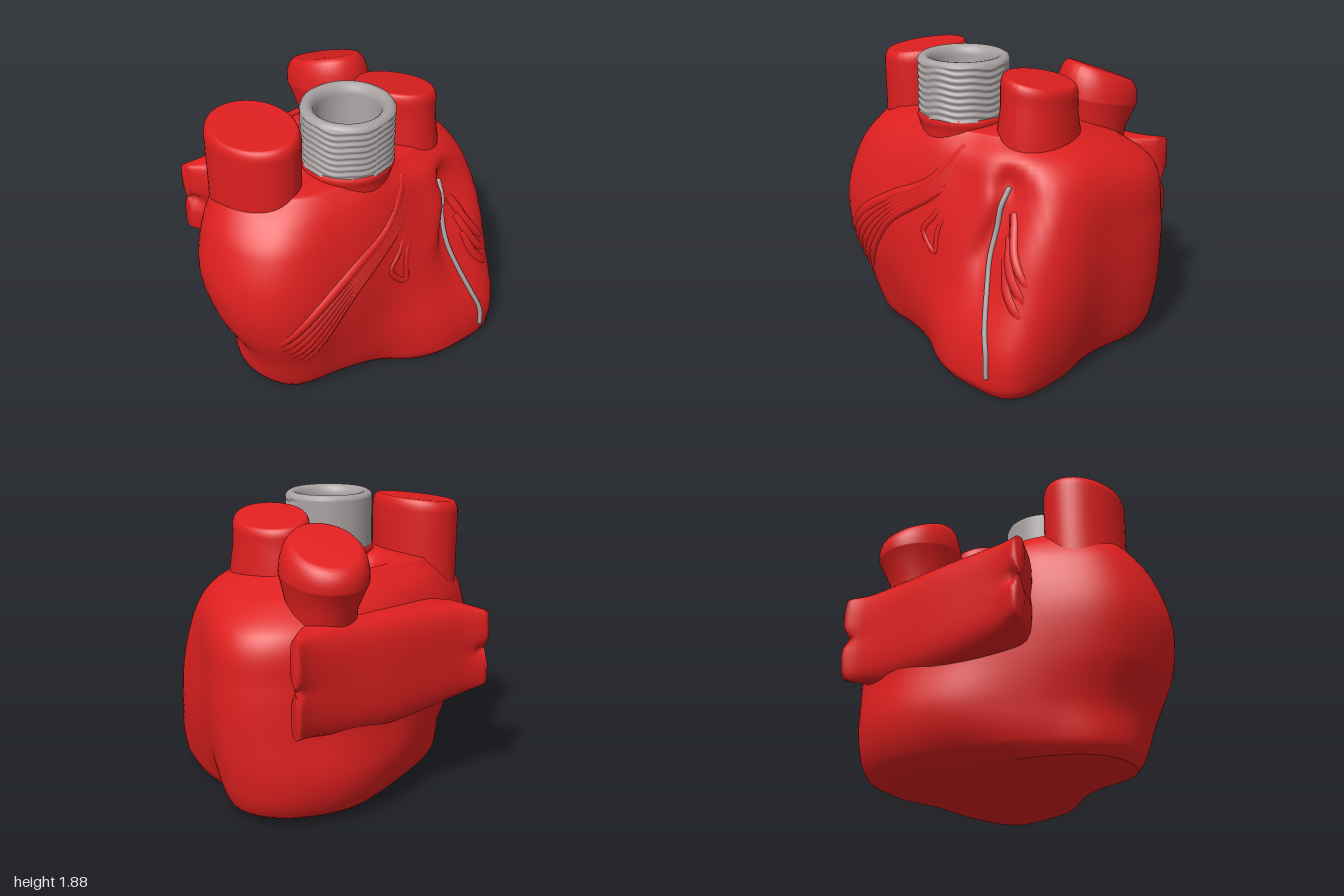
import * as THREE from 'three';

const red = new THREE.MeshStandardMaterial({ color: 0xde1f1f });
red.name = 'heartRed';
const grey = new THREE.MeshStandardMaterial({ color: 0xaaa2a2 });
grey.name = 'warmGrey';

const CZ = 0.05; // z of the body's vertical axis

// Body cross-sections: height, then radii every 30 degrees from +x towards +z
const BODY = [
  [0.00, 0.82, 0.95, 0.85, 0.55, 0.53, 0.73, 0.71, 0.53, 0.43, 0.45, 0.72, 0.90],
  [0.07, 0.87, 0.99, 0.90, 0.61, 0.60, 0.78, 0.76, 0.60, 0.54, 0.62, 0.86, 1.03],
  [0.30, 0.94, 1.03, 0.88, 0.66, 0.67, 0.86, 0.79, 0.66, 0.62, 0.74, 0.95, 1.10],
  [0.60, 0.98, 1.04, 0.78, 0.65, 0.73, 0.98, 0.93, 0.74, 0.65, 0.72, 0.92, 1.12],
  [0.90, 0.98, 1.00, 0.71, 0.62, 0.73, 1.00, 0.99, 0.78, 0.65, 0.70, 0.89, 1.11],
  [1.20, 0.95, 0.89, 0.61, 0.56, 0.65, 0.90, 0.93, 0.74, 0.62, 0.66, 0.85, 1.05],
  [1.36, 0.84, 0.76, 0.55, 0.51, 0.57, 0.77, 0.84, 0.66, 0.55, 0.55, 0.66, 0.82],
  [1.46, 0.63, 0.58, 0.45, 0.45, 0.49, 0.64, 0.74, 0.56, 0.42, 0.42, 0.46, 0.53],
];

// Back slab: x, back z, front z, top y, bottom y
const SLAB = [
  [-0.69, -0.69, -0.60, 1.20, 0.70],
  [-0.50, -0.68, -0.36, 1.25, 0.63],
  [0.00, -0.75, -0.30, 1.28, 0.56],
  [0.40, -0.79, -0.40, 1.28, 0.58],
  [0.62, -0.83, -0.60, 1.26, 0.63],
  [0.74, -0.88, -0.77, 1.25, 0.66],
];

// Smooth value of column k at the given key (first column)
function spline(rows, key, k) {
  let i = 0;
  while (i < rows.length - 2 && key > rows[i + 1][0]) i++;
  const slope = (n) => {
    const a = rows[Math.max(n - 1, 0)], b = rows[Math.min(n + 1, rows.length - 1)];
    return (b[k] - a[k]) / (b[0] - a[0]);
  };
  const p = rows[i], q = rows[i + 1], h = q[0] - p[0], t = (key - p[0]) / h;
  const t2 = t * t, t3 = t2 * t;
  return (2 * t3 - 3 * t2 + 1) * p[k] + (t3 - 2 * t2 + t) * h * slope(i)
    + (3 * t2 - 2 * t3) * q[k] + (t3 - t2) * h * slope(i + 1);
}

// Body radius at a height and angle, with the apex corner and the artery groove
function bodyRadius(y, angle) {
  const a = (angle / (Math.PI / 6) + 12) % 12, j = Math.floor(a), t = a - j;
  const [p, q, r, s] = [-1, 0, 1, 2].map((d) => spline(BODY, y, ((j + d + 12) % 12) + 1));
  const wall = q + 0.5 * t * (r - p + t * (2 * p - 5 * q + 4 * r - s + t * (3 * (q - r) + s - p)));
  const { smoothstep } = THREE.MathUtils;
  const apex = 0.12 * (1 - smoothstep(y, 0.2, 1.0)) * Math.exp(-(((angle - 0.73) / 0.2) ** 2));
  const middle = 0.66 + 0.19 * (1 - smoothstep(y, 0.75, 1.2));
  const depth = 0.14 * smoothstep(y, 0.2, 1.1) * (1 - smoothstep(y, 1.2, 1.42));
  return wall + apex - depth * Math.exp(-(((angle - middle) / 0.13) ** 2));
}

// Point on the front of the body at (x, y), lifted outwards
function frontPoint(x, y, lift) {
  let lo = 0, hi = Math.PI;
  for (let n = 0; n < 30; n++) {
    const m = (lo + hi) / 2;
    if (bodyRadius(y, m) * Math.cos(m) > x) lo = m; else hi = m;
  }
  const r = bodyRadius(y, lo) + lift;
  return new THREE.Vector3(r * Math.cos(lo), y, CZ + r * Math.sin(lo));
}

// Grid surface closed around its second direction
function loft(rows, cols, fn) {
  const pos = [], index = [];
  for (let i = 0; i < rows; i++) {
    for (let j = 0; j < cols; j++) pos.push(...fn(i, (j / cols) * Math.PI * 2));
  }
  for (let i = 0; i < rows - 1; i++) {
    for (let j = 0; j < cols; j++) {
      const k = (j + 1) % cols, a = i * cols, b = a + cols;
      index.push(a + j, b + j, a + k, b + j, b + k, a + k);
    }
  }
  const g = new THREE.BufferGeometry();
  g.setAttribute('position', new THREE.Float32BufferAttribute(pos, 3));
  g.setIndex(index);
  g.computeVertexNormals();
  return g;
}

// Apply a rule to every vertex
function reshape(g, rule) {
  const p = g.attributes.position, v = new THREE.Vector3();
  for (let i = 0; i < p.count; i++) {
    rule(v.fromBufferAttribute(p, i));
    p.setXYZ(i, v.x, v.y, v.z);
  }
  g.computeVertexNormals();
  return g;
}

const points2 = (list) => list.map((p) => new THREE.Vector2(...p));

// Oval vessel stump: base centre, radii, heights, cap slopes, lean, neck width and rim rounding
function stump({ x, z, rx, rz, y0, y1, turn = 0, sx = 0, sz = 0, lean = 0, neck = 1.05, rim = 0.12 }) {
  const profile = [[neck, 0], [neck, 0.4], [1, 0.7]];
  for (let i = 0; i <= 6; i++) {
    const a = (i / 6) * Math.PI / 2;
    profile.push([1 - rim * (1 - Math.cos(a)), 1 - rim * (1 - Math.sin(a))]);
  }
  profile.push([0, 1]);
  const g = new THREE.LatheGeometry(points2(profile), 48);
  g.scale(rx, 1, rz).rotateY(turn);
  return reshape(g, (v) => {
    const t = v.y;
    v.y = y0 + t * (y1 - y0) + t * t * (sx * v.x + sz * v.z);
    v.x += x;
    v.z += z + lean * t;
  });
}

export function createModel() {
  const model = new THREE.Group();
  const add = (name, geometry, material = red) => {
    const mesh = new THREE.Mesh(geometry, material);
    mesh.name = name;
    model.add(mesh);
  };

  // Body wall, closing over the top with a hollow behind the grey pipe
  const WALL = 64, CAP = 24;
  add('heartBody', loft(WALL + CAP + 1, 120, (i, a) => {
    const y = Math.min(i / WALL, 1) * 1.46;
    const s = i <= WALL ? 1 : Math.cos(((i - WALL) / CAP) * Math.PI / 2);
    const r = bodyRadius(y, a) * s;
    const x = r * Math.cos(a), z = CZ + r * Math.sin(a);
    const dip = 0.2 * Math.exp(-((x + 0.07) ** 2 + (z + 0.1) ** 2) / 0.015) * Math.min(1, (1 - s) * 4);
    return [x, y + 0.045 * Math.sqrt(1 - s * s) - dip, z];
  }));
  add('flatBase', loft(2, 120, (i, a) => {
    const r = i * bodyRadius(0, a);
    return [r * Math.cos(a), 0, CZ + r * Math.sin(a)];
  }));

  // Back slab with notched ears at both ends
  const N = 48;
  add('backSlab', loft(N + 3, 48, (i, a) => {
    const t = THREE.MathUtils.clamp((i - 1) / N, 0, 1);
    const s = i === 0 || i === N + 2 ? 0 : 1;
    let x = -0.69 + 1.43 * t;
    const [zb, zf, yt, yb] = [1, 2, 3, 4].map((k) => spline(SLAB, x, k));
    const c = Math.cos(a), n = Math.sin(a);
    const box = s / (c ** 4 + n ** 4) ** 0.25;
    const y = (yt + yb) / 2 + box * n * (yt - yb) / 2;
    let z = (zb + zf) / 2 + box * c * (zf - zb) / 2;
    const end = Math.abs(2 * t - 1) ** 8;
    const notch = s * end * Math.exp(-(((y - 0.94) / 0.045) ** 2));
    x -= Math.sign(t - 0.5) * 0.06 * notch;
    z += 0.05 * notch * (c < 0 ? 1 : 0);
    return [x, y, z];
  }));

  // Vessel stumps
  add('rightStump', stump({ x: -0.585, z: 0.06, rx: 0.245, rz: 0.325, y0: 1.2, y1: 1.83, turn: 0.2, sx: 0.1, sz: -0.02, neck: 0.99 }));
  add('leftStump', stump({ x: 0.45, z: 0.11, rx: 0.22, rz: 0.285, y0: 1.2, y1: 1.78, turn: 0.22, sx: -0.15, sz: 0.14, neck: 1.1 }));
  add('backStump', stump({ x: 0.4, z: -0.46, rx: 0.255, rz: 0.3, y0: 1.1, y1: 1.71, turn: 0.15, sx: -0.12, sz: 0.38, lean: -0.09, neck: 0.8, rim: 0.28 }));

  // Collar under the pipe
  const collar = [[0.26, 1.2], [0.275, 1.38], [0.275, 1.44], [0.285, 1.48], [0.295, 1.505], [0.285, 1.53], [0.24, 1.535], [0, 1.535]];
  add('pipeCollar', new THREE.LatheGeometry(points2(collar), 48).translate(-0.04, 0, 0.26));

  // Hollow pipe, ribbed across the front
  const pipe = [];
  for (let i = 0; i <= 60; i++) pipe.push([0.285, 1.52 + (i / 60) * 0.335]);
  pipe.push([0.278, 1.872], [0.255, 1.885], [0.23, 1.88], [0.208, 1.86], [0.198, 1.82], [0.19, 1.6], [0.17, 1.57], [0, 1.57]);
  add('greyPipe', reshape(new THREE.LatheGeometry(points2(pipe), 72), (v) => {
    const r = Math.hypot(v.x, v.z), a = Math.atan2(v.z, v.x);
    if (r > 0.28 && v.z > -0.05) {
      const k = 1 + 0.015 * Math.sin(v.y * 150 + 1.4 * Math.sin(3 * a + 1) + Math.sin(8 * a));
      v.x *= k;
      v.z *= k;
    }
    v.x -= 0.04;
    v.z += 0.26;
  }), grey);

  // Cords lying on the front of the body, sinking in at the ends by the given amount
  const cord = (name, points, radius, lift, sink, material) => {
    const path = new THREE.CatmullRomCurve3(points.map(([x, y]) => new THREE.Vector3(x, y, 0)));
    const laid = path.getPoints(40).map((p, i) => frontPoint(p.x, p.y, lift - sink * (i / 20 - 1) ** 4));
    add(name, new THREE.TubeGeometry(new THREE.CatmullRomCurve3(laid), 80, radius, 8), material);
    return [laid[0], laid[40]];
  };
  const ends = cord('frontArtery', [[0.53, 1.2], [0.51, 1.0], [0.51, 0.8], [0.56, 0.6], [0.62, 0.42], [0.67, 0.28], [0.68, 0.15]], 0.016, 0.009, 0, grey);
  for (const p of ends) add('arteryEnd', new THREE.SphereGeometry(0.016, 10, 8).translate(p.x, p.y, p.z), grey);

  // Folds sweeping from the collar across to the right side
  for (let i = 0; i < 6; i++) {
    const d = i / 5;
    cord('sweepingFold', [[0.22 - 0.02 * d, 1.38 - 0.2 * d], [0.0, 1.14 - 0.1 * d], [-0.3, 0.99 - 0.15 * d],
      [-0.58 + 0.1 * d, 0.82 - 0.2 * d], [-0.85 + 0.2 * d, 0.56 - 0.25 * d]], 0.045 - 0.01 * d, -0.027 + 0.007 * d, 0.025, red);
  }
  // Small flap and left side folds
  cord('flapEdge', [[0.16, 1.08], [0.08, 0.95], [0.0, 0.84], [0.11, 0.73], [0.13, 0.88], [0.2, 1.05]], 0.025, -0.016, 0.015, red);
  for (let i = 0; i < 3; i++) {
    cord('leftFold', [[0.64 + 0.02 * i, 1.06 - 0.12 * i], [0.72, 0.87 - 0.1 * i], [0.86, 0.68 - 0.09 * i]], 0.035, -0.027, 0.02, red);
  }
  return model;
}
